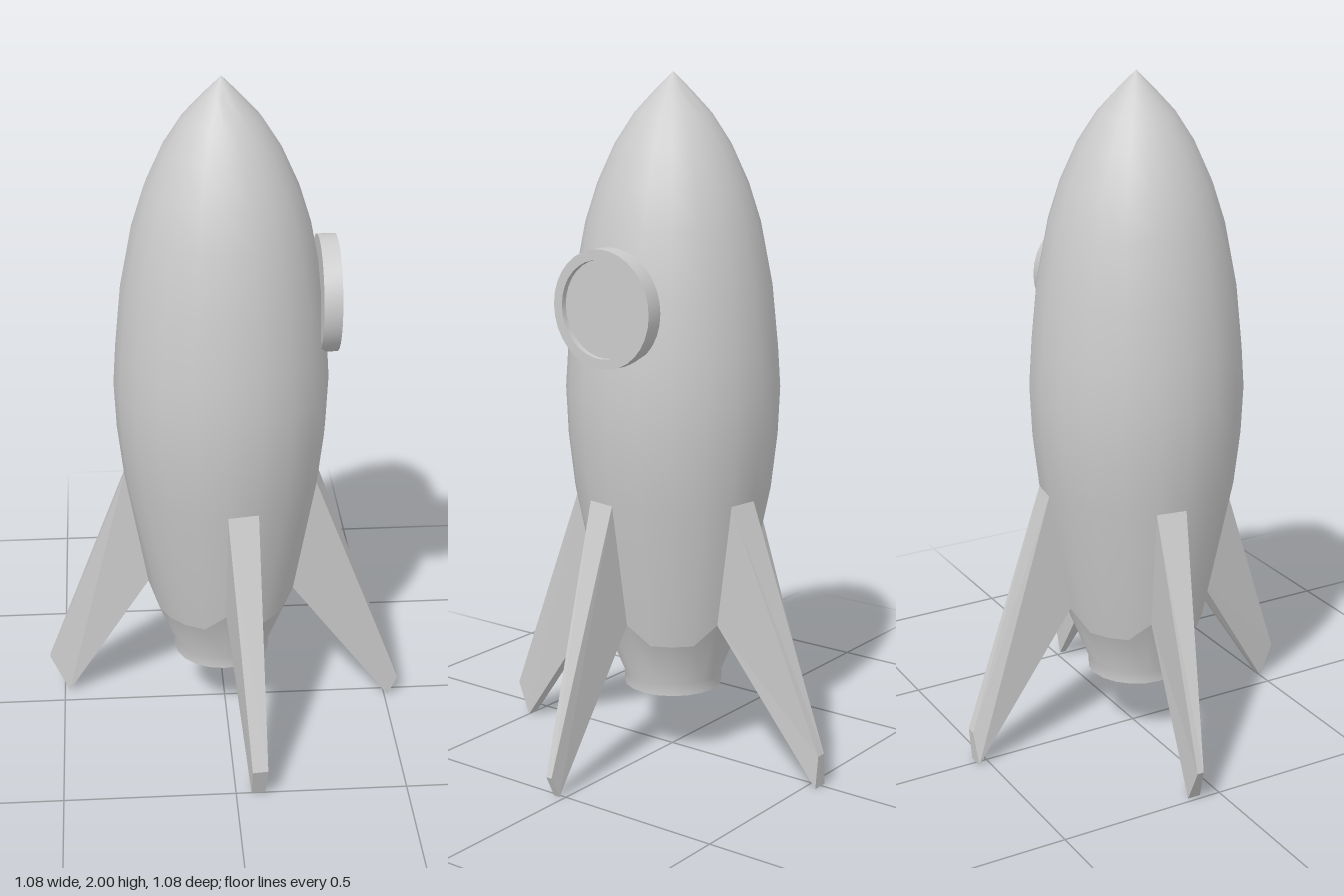
import * as THREE from 'three';
import { toCreasedNormals } from 'three/addons/utils/BufferGeometryUtils.js';

const SIDES = 20;
const STEP = (Math.PI * 2) / SIDES;
const CX = -0.01, CZ = 0.005;               // hull axis
const FIN_TOP = [0.287, 0.8];               // radius, height of fin root top
const FIN_BOTTOM = [0.222, 0.43];           // radius, height of fin root bottom
const HEM = [0.2, 0.37];                    // lower edge of hull between fins

// Each fin grows from one hull facet; tip corners run top A, top B, bottom B, bottom A
const FINS = [
  { name: 'frontFin', facet: 0, tip: [[0.045, 0.1, 0.54], [0.09, 0.1, 0.535], [0.085, 0, 0.5], [0.045, 0, 0.5]] },
  { name: 'leftFin', facet: 4, tip: [[0.54, 0.065, 0.037], [0.54, 0.065, 0.018], [0.51, 0, 0.015], [0.51, 0, 0.035]] },
  { name: 'backFin', facet: 9, tip: [[0.03, 0.1, -0.54], [0, 0.1, -0.54], [-0.02, 0, -0.532], [0.03, 0, -0.532]] },
  { name: 'rightFin', facet: 14, tip: [[-0.543, 0.11, -0.1], [-0.543, 0.11, -0.08], [-0.485, 0, -0.055], [-0.485, 0, -0.095]] },
];

const grey = () => new THREE.MeshStandardMaterial({ color: 0xcccccc });

function makeMesh(name, geometry, material = grey()) {
  const mesh = new THREE.Mesh(geometry, material);
  mesh.name = name;
  return mesh;
}

function lathe(profile, sides) {
  return new THREE.LatheGeometry(profile.map(([r, y]) => new THREE.Vector2(r, y)), sides);
}

const ringPoint = ([r, y], i) => [CX + r * Math.sin(i * STEP), y, CZ + r * Math.cos(i * STEP)];

// Lift the hem ring where it meets the fin roots
function raiseHem(geometry, ring, ringCount) {
  const pos = geometry.attributes.position;
  for (const { facet } of FINS) {
    for (let i = 0; i <= SIDES; i++) {
      if (i % SIDES !== facet && i !== facet + 1) continue;
      const [r, y] = FIN_BOTTOM;
      pos.setXYZ(i * ringCount + ring, r * Math.sin(i * STEP), y, r * Math.cos(i * STEP));
    }
  }
  geometry.translate(CX, 0, CZ);
  return toCreasedNormals(geometry, 0.7);
}

// Tapered fin: four sides from the root quad to the tip quad, plus a tip cap
function finGeometry({ facet, tip }) {
  const corners = [
    ringPoint(FIN_TOP, facet), ringPoint(FIN_TOP, facet + 1),
    ringPoint(FIN_BOTTOM, facet + 1), ringPoint(FIN_BOTTOM, facet),
    ...tip,
  ];
  const index = [4, 7, 6, 4, 6, 5];
  for (let k = 0; k < 4; k++) {
    const n = (k + 1) % 4;
    index.push(k, k + 4, n + 4, k, n + 4, n);
  }
  const indexed = new THREE.BufferGeometry();
  indexed.setAttribute('position', new THREE.Float32BufferAttribute(corners.flat(), 3));
  indexed.setIndex(index);
  const geometry = indexed.toNonIndexed();
  geometry.computeVertexNormals();
  return geometry;
}

export function createModel() {
  const group = new THREE.Group();
  group.name = 'rocket';

  // Hull
  const hull = [
    HEM, FIN_TOP, [0.305, 0.96], [0.311, 1.1], [0.303, 1.22], [0.285, 1.4],
    [0.25, 1.58], [0.215, 1.69], [0.165, 1.8], [0.11, 1.885], [0.05, 1.95], [0, 2],
  ];
  group.add(makeMesh('hull', raiseHem(lathe(hull, SIDES), 0, hull.length)));

  // Tail cone with a recessed exhaust opening
  const tail = [
    [0, 0.3], [0.13, 0.3], [0.135, 0.2], [0.145, 0.2], [0.145, 0.235], HEM,
  ];
  group.add(makeMesh('tailNozzle', raiseHem(lathe(tail, SIDES), tail.length - 1, tail.length)));

  // Fins
  for (const fin of FINS) {
    const material = grey();
    material.flatShading = true;
    group.add(makeMesh(fin.name, finGeometry(fin), material));
  }

  // Round porthole on the left side: frame and recessed pane
  const porthole = new THREE.Group();
  porthole.name = 'porthole';
  const frame = [[0, 0], [0.167, 0], [0.167, 0.052], [0.138, 0.052], [0.138, 0.035]];
  const pane = [[0.138, 0.035], [0, 0.035]];
  porthole.add(
    makeMesh('portholeFrame', toCreasedNormals(lathe(frame, 32), 0.7)),
    makeMesh('portholePane', lathe(pane, 32)),
  );
  porthole.rotation.z = -Math.PI / 2;
  porthole.position.set(0.263, 1.365, 0.01);
  group.add(porthole);

  return group;
}
